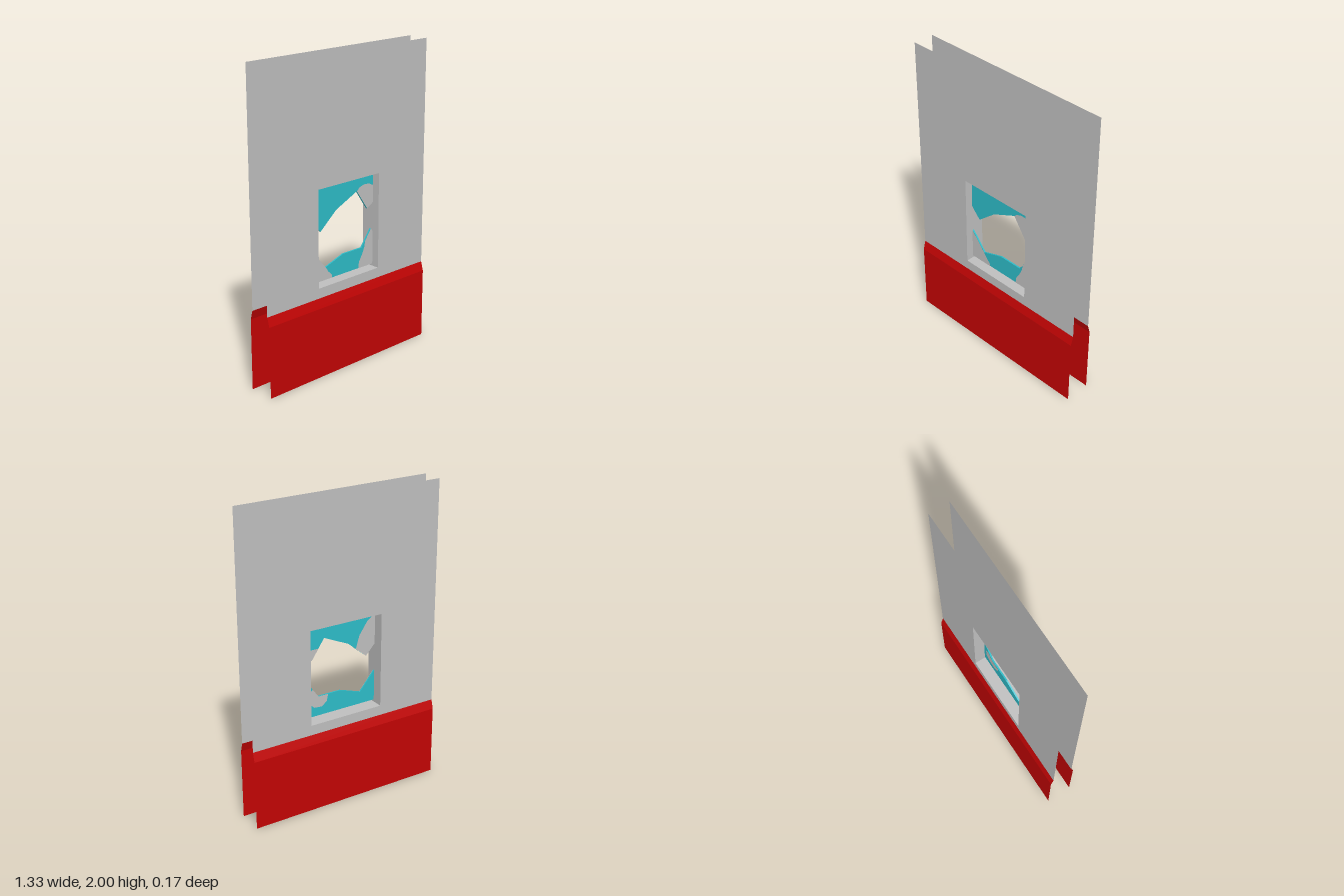
import * as THREE from 'three';

const material = (name, color) => {
  const m = new THREE.MeshStandardMaterial({ color, side: THREE.DoubleSide });
  m.name = name;
  return m;
};

const shapeFrom = (points) => new THREE.Shape(points.map(([x, y]) => new THREE.Vector2(x, y)));

export function createModel() {
  const plaster = material('grey plaster', 0xc0c0c0);
  const red = material('red skirting', 0xc40404);
  const teal = material('teal glass', 0x2ebdc9);

  const model = new THREE.Group();
  model.name = 'wallWithBrokenWindow';
  const add = (parent, name, geometry, mat) => {
    const mesh = new THREE.Mesh(geometry, mat);
    mesh.name = name;
    parent.add(mesh);
    return mesh;
  };

  const W = 0.665, SKIRT = 0.52, BEVEL = 0.46, FACE = 0.068, OUT = 0.085;
  const HX = 0.255, HY0 = 0.585, HY1 = 1.21;

  // Wall face with a window hole, and the skirting below it; the back is the front turned round
  const wallShape = shapeFrom([[-W, SKIRT], [W, SKIRT], [W, 2], [-W, 2]]);
  wallShape.holes.push(new THREE.Path(
    [[-HX, HY0], [-HX, HY1], [HX, HY1], [HX, HY0]].map(([x, y]) => new THREE.Vector2(x, y))));
  const wallGeometry = new THREE.ShapeGeometry(wallShape);
  const skirtGeometry = new THREE.PlaneGeometry(2 * W, BEVEL);
  const bevelRun = OUT - FACE, bevelRise = SKIRT - BEVEL;
  const bevelGeometry = new THREE.PlaneGeometry(2 * W, Math.hypot(bevelRun, bevelRise));
  for (const side of ['front', 'back']) {
    const group = new THREE.Group();
    group.name = side + 'Side';
    group.rotation.y = side === 'front' ? 0 : Math.PI;
    add(group, side + 'Wall', wallGeometry, plaster).position.z = FACE;
    add(group, side + 'Skirting', skirtGeometry, red).position.set(0, BEVEL / 2, OUT);
    const bevel = add(group, side + 'SkirtingBevel', bevelGeometry, red);
    bevel.position.set(0, (SKIRT + BEVEL) / 2, (FACE + OUT) / 2);
    bevel.rotation.x = -Math.atan2(bevelRun, bevelRise);
    model.add(group);
  }

  // Window reveal: four faces that look into the opening
  const midY = (HY0 + HY1) / 2;
  for (const s of [-1, 1]) {
    const jamb = add(model, s < 0 ? 'rightJamb' : 'leftJamb',
      new THREE.PlaneGeometry(2 * FACE, HY1 - HY0), plaster);
    jamb.position.set(s * HX, midY, 0);
    jamb.rotation.y = -s * Math.PI / 2;
    const ledge = add(model, s < 0 ? 'windowSill' : 'windowHead',
      new THREE.PlaneGeometry(2 * HX, 2 * FACE), plaster);
    ledge.position.set(0, s < 0 ? HY0 : HY1, 0);
    ledge.rotation.x = s * Math.PI / 2;
  }

  // Broken glass left along the top and bottom of the opening
  const Z0 = 0.005, THICK = 0.01;
  const shards = {
    upperGlass: [[-HX, HY1], [-HX, 0.99], [-0.19, 0.92], [-0.06, 1.03], [0.115, 1.11],
      [0.205, 0.98], [HX, 1.01], [HX, HY1]],
    lowerGlass: [[-HX, 0.6], [HX, 0.6], [HX, 0.82], [0.24, 0.84], [0.16, 0.73], [0, 0.73],
      [-0.15, 0.68], [-HX, 0.805]],
  };
  for (const [name, points] of Object.entries(shards)) {
    add(model, name, new THREE.ExtrudeGeometry(shapeFrom(points),
      { depth: THICK, bevelEnabled: false }), teal).position.z = Z0;
  }

  // Grey patches lying on each face of the glass
  const frontPatches = [
    [[0.115, 1.11], [0.205, 0.98], [HX, 1.01], [HX, 1.12], [0.22, 1.14], [0.175, 1.143], [0.135, 1.13]],
    [[-HX, 0.6], [-0.1, 0.6], [-0.1, 0.62], [-0.13, 0.65], [-0.15, 0.68], [-HX, 0.805]],
    [[0.13, 0.6], [HX, 0.6], [HX, 0.82], [0.24, 0.84], [0.19, 0.77], [0.182, 0.73], [0.165, 0.69], [0.135, 0.64]],
  ];
  const backPatches = [
    [[0.205, 0.98], [HX, 1.01], [HX, 1.02], [0.22, 1.05], [0.157, 1.05]],
    [[-HX, 0.99], [-0.19, 0.92], [-0.114, 0.985], [-0.14, 1.07], [-0.2, 1.155], [-HX, 1.19]],
    [[0.16, 0.73], [0.09, 0.73], [0.1, 0.684], [0.135, 0.656], [0.19, 0.66], [0.227, 0.695],
      [0.234, 0.764], [0.2, 0.785]],
  ];
  const addPatches = (list, name, z) => list.forEach((points, i) => {
    add(model, name + (i + 1), new THREE.ShapeGeometry(shapeFrom(points)), plaster).position.z = z;
  });
  addPatches(frontPatches, 'frontPatch', Z0 + THICK + 0.002);
  addPatches(backPatches, 'backPatch', Z0 - 0.002);

  return model;
}
